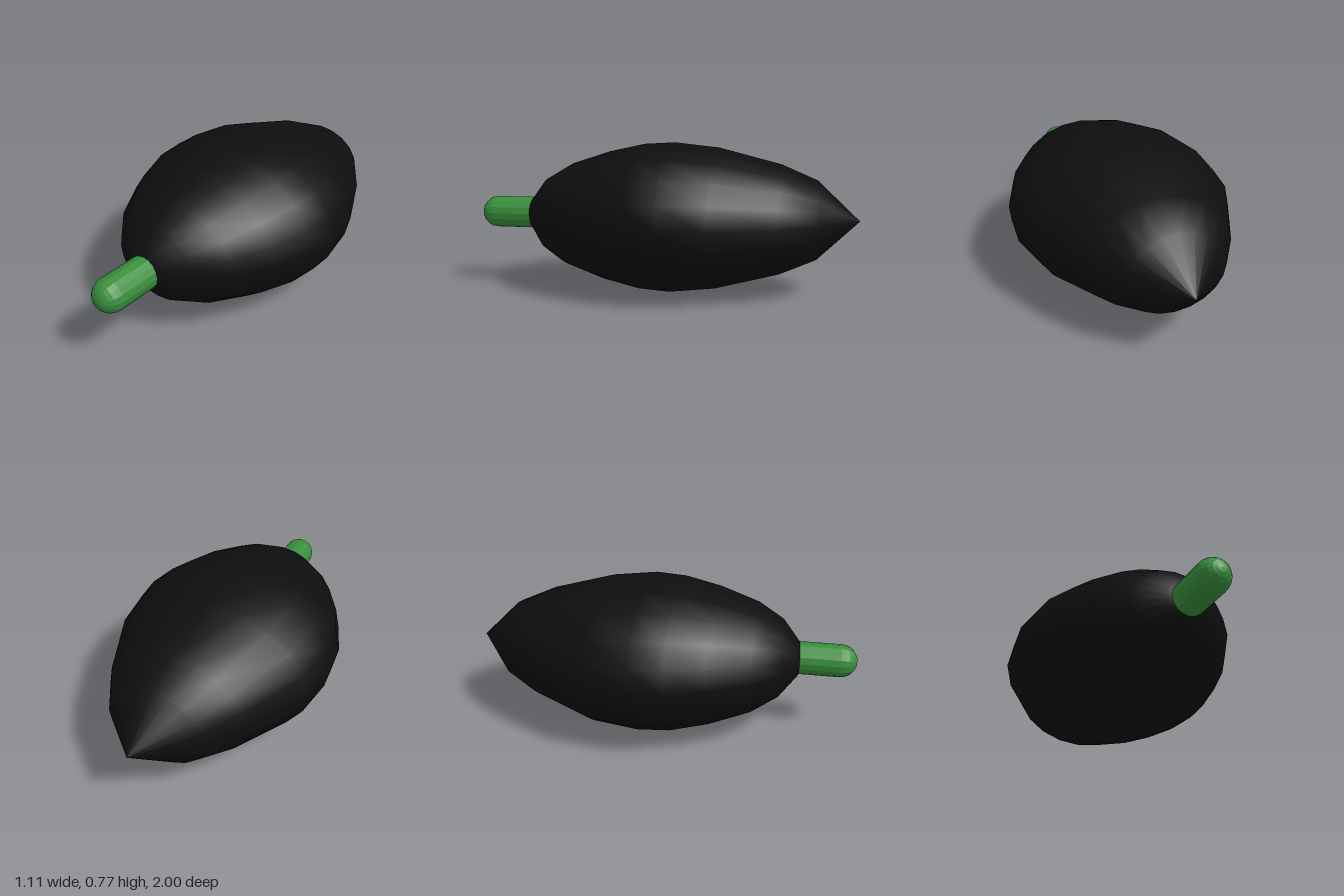
import * as THREE from 'three';

const MID_Y = 0.386;

// Skin closed elliptical sections [z, left edge x, right edge x, half height] along z
function loft(sections, sides) {
  const pos = [], idx = [];
  sections.forEach(([z, x0, x1, h], i) => {
    for (let j = 0; j < sides; j++) {
      const a = (j / sides) * Math.PI * 2;
      pos.push((x0 + x1) / 2 + ((x1 - x0) / 2) * Math.cos(a), h * Math.sin(a), z);
      if (i === sections.length - 1) continue;
      const k = (j + 1) % sides, r = i * sides, s = r + sides;
      if (i > 0) idx.push(r + j, r + k, s + k);
      if (i < sections.length - 2) idx.push(r + j, s + k, s + j);
      else if (i === 0) idx.push(r + j, s + k, s + j);
    }
  });
  // First band is a fan from the tip
  for (let j = 0; j < sides; j++) idx.push(j, sides + ((j + 1) % sides), sides + j);
  const g = new THREE.BufferGeometry();
  g.setAttribute('position', new THREE.Float32BufferAttribute(pos, 3));
  g.setIndex(idx);
  g.computeVertexNormals();
  return g;
}

export function createModel() {
  const model = new THREE.Group();
  model.name = 'fruit';

  // Plump, flattened body with a pointed back end
  const body = new THREE.Mesh(
    loft([
      [-1.0, 0.02, 0.02, 0],
      [-0.79, -0.24, 0.255, 0.2],
      [-0.61, -0.365, 0.37, 0.278],
      [-0.29, -0.53, 0.515, 0.36],
      [-0.06, -0.557, 0.553, 0.385],
      [0.1, -0.54, 0.53, 0.376],
      [0.29, -0.47, 0.465, 0.335],
      [0.49, -0.355, 0.355, 0.27],
      [0.62, -0.23, 0.235, 0.195],
      [0.71, -0.09, 0.1, 0.085],
      [0.73, 0.005, 0.005, 0],
    ], 20),
    new THREE.MeshStandardMaterial({ color: 0x0e0e0e })
  );
  body.name = 'body';
  body.position.y = MID_Y;
  model.add(body);

  // Round-ended stem at the front
  const stem = new THREE.Mesh(
    new THREE.CapsuleGeometry(0.084, 0.3, 6, 16),
    new THREE.MeshStandardMaterial({ color: 0x388e3c, flatShading: true })
  );
  stem.name = 'stem';
  stem.rotation.x = Math.PI / 2;
  stem.position.set(0.015, MID_Y + 0.002, 0.766);
  model.add(stem);

  return model;
}
